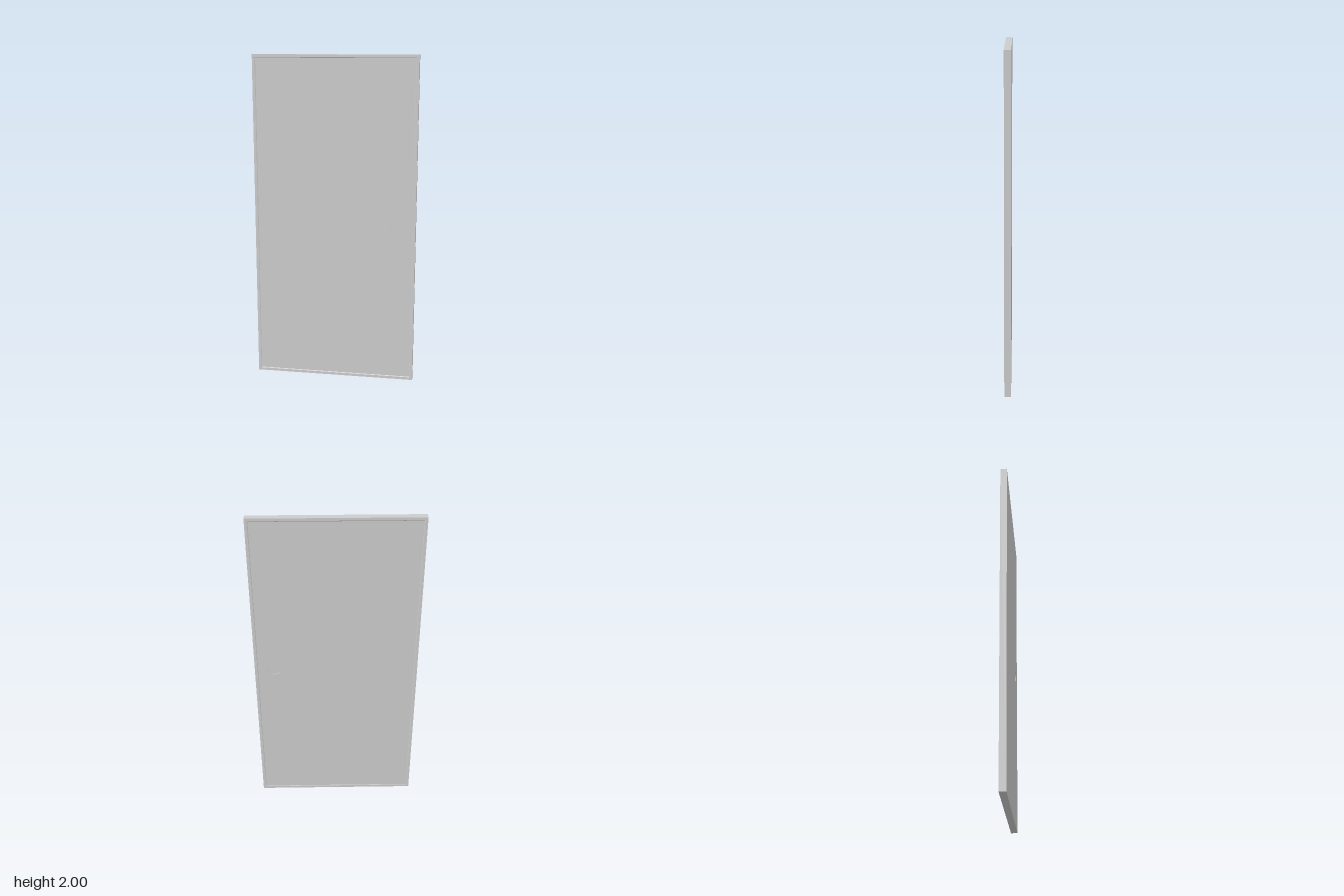
import * as THREE from 'three';

const W = 0.99, H = 2, T = 0.04;    // door width, height, thickness
const LIP = 0.02, STEP = 0.002;     // rim width and depth of the sunken faces
const PULL = { x: 0.375, y: 1, r: 0.036, sides: 12 };

// Rectangular rim swept from [inset, z] cross-section points
function rimGeometry(profile) {
  const corner = ([inset, z], c) => {
    const x = W / 2 - inset, y = H / 2 - inset;
    const [sx, sy] = [[1, -1], [1, 1], [-1, 1], [-1, -1]][c % 4];
    return [sx * x, H / 2 + sy * y, z];
  };
  const pos = [];
  for (let i = 0; i < profile.length - 1; i++) {
    for (let c = 0; c < 4; c++) {
      const a = corner(profile[i], c), b = corner(profile[i], c + 1);
      const d = corner(profile[i + 1], c), e = corner(profile[i + 1], c + 1);
      pos.push(...a, ...b, ...e, ...a, ...e, ...d);
    }
  }
  const geo = new THREE.BufferGeometry();
  geo.setAttribute('position', new THREE.Float32BufferAttribute(pos, 3));
  geo.computeVertexNormals();
  return geo;
}

export function createModel() {
  const group = new THREE.Group();
  const material = new THREE.MeshStandardMaterial({ color: 0xcccccc, flatShading: true });
  const add = (name, geometry) => {
    const mesh = new THREE.Mesh(geometry, material);
    mesh.name = name;
    group.add(mesh);
    return mesh;
  };

  // Outer rim with small sloped steps down to both faces
  const f = T / 2, p = T / 2 - STEP;
  add('doorRim', rimGeometry([
    [LIP, -p], [LIP - 0.004, -f], [0, -f], [0, f], [LIP - 0.004, f], [LIP, p],
  ]));

  // Sunken door panel with a round opening for the pull
  const x = W / 2 - LIP;
  const shape = new THREE.Shape([
    new THREE.Vector2(-x, LIP), new THREE.Vector2(x, LIP),
    new THREE.Vector2(x, H - LIP), new THREE.Vector2(-x, H - LIP),
  ]);
  const opening = [];
  for (let i = 0; i < PULL.sides; i++) {
    const a = (i / PULL.sides) * Math.PI * 2;
    opening.push(new THREE.Vector2(PULL.x + PULL.r * Math.cos(a), PULL.y + PULL.r * Math.sin(a)));
  }
  shape.holes.push(new THREE.Path(opening));
  const panel = new THREE.ExtrudeGeometry(shape, { depth: 2 * p, bevelEnabled: false });
  add('doorPanel', panel.translate(0, 0, -p));

  // Recessed floor of the finger pull, seen from both faces
  const floor = new THREE.CylinderGeometry(PULL.r, PULL.r, 2 * p - 0.008, PULL.sides);
  add('fingerPull', floor.rotateY(Math.PI / 2).rotateX(Math.PI / 2)).position.set(PULL.x, PULL.y, 0);

  return group;
}
